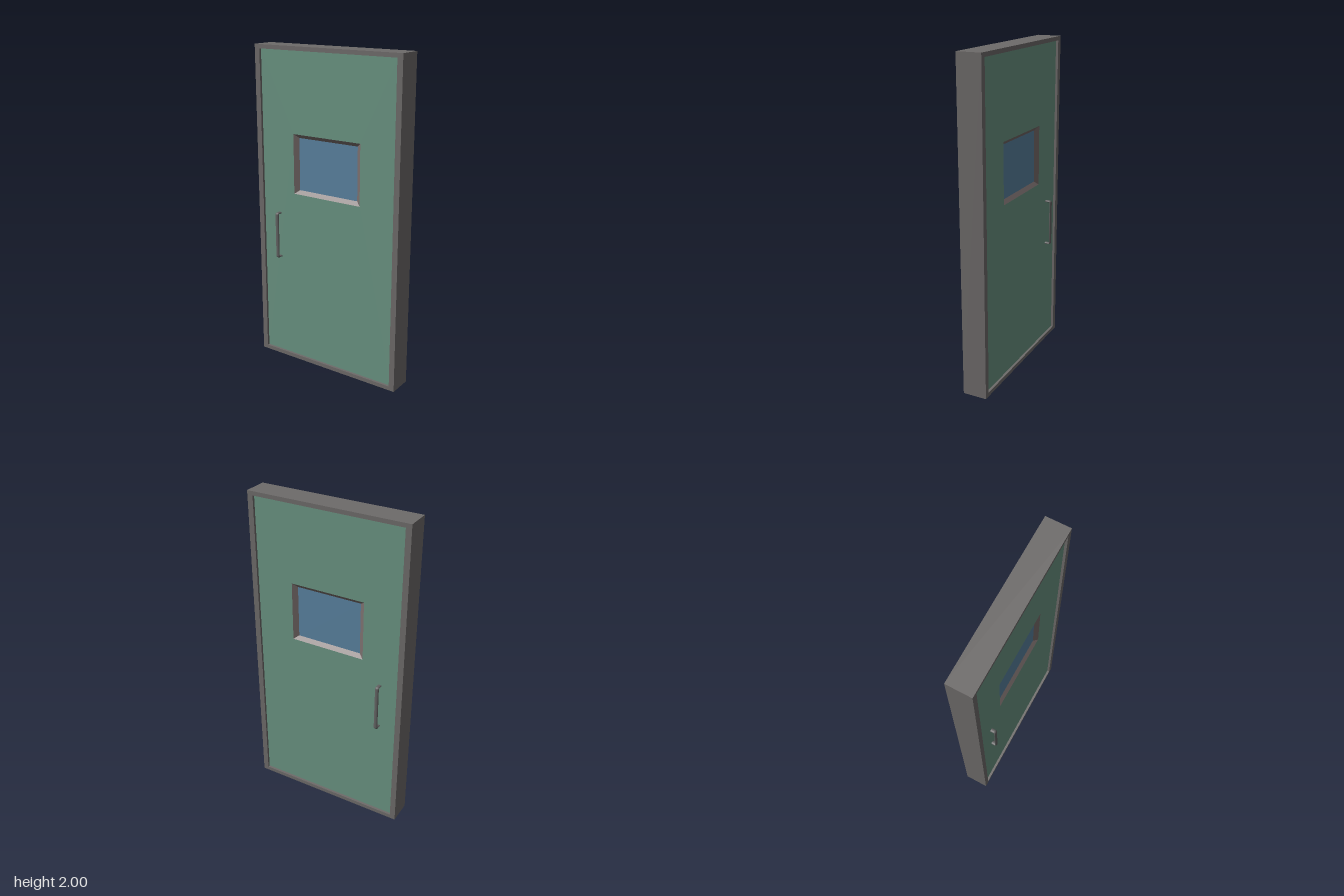
import * as THREE from 'three';

const material = (color, extra = {}) => new THREE.MeshStandardMaterial({ color, ...extra });

// Rectangle with a rectangular hole, extruded from z0 to z1. Rects are [x0, y0, x1, y1].
function ringPlate(outer, hole, z0, z1) {
  const trace = (path, [x0, y0, x1, y1]) =>
    path.moveTo(x0, y0).lineTo(x1, y0).lineTo(x1, y1).lineTo(x0, y1).closePath();
  const shape = trace(new THREE.Shape(), outer);
  shape.holes.push(trace(new THREE.Path(), hole));
  const geometry = new THREE.ExtrudeGeometry(shape, { depth: z1 - z0, bevelEnabled: false });
  return geometry.translate(0, 0, z0);
}

// Sloping four-sided surround, wide at z = 0 and narrowing to z = -depth
function slopedSurround(width, height, depth, taper) {
  return new THREE.CylinderGeometry(Math.SQRT1_2, Math.SQRT1_2 * taper, depth, 4, 1, true)
    .rotateY(Math.PI / 4)
    .rotateX(Math.PI / 2)
    .scale(width, height, 1)
    .translate(0, 0, -depth / 2);
}

// Flattened bar bent back to the door at both ends
function handleGeometry(length, reach) {
  const r = 0.0065, h = length / 2 - r, top = reach - r, bend = 0.008;
  const v = (y, z) => new THREE.Vector3(0, y, z);
  const path = new THREE.CurvePath();
  path.add(new THREE.LineCurve3(v(-h, 0), v(-h, top - bend)));
  path.add(new THREE.QuadraticBezierCurve3(v(-h, top - bend), v(-h, top), v(-h + bend, top)));
  path.add(new THREE.LineCurve3(v(-h + bend, top), v(h - bend, top)));
  path.add(new THREE.QuadraticBezierCurve3(v(h - bend, top), v(h, top), v(h, top - bend)));
  path.add(new THREE.LineCurve3(v(h, top - bend), v(h, 0)));
  return new THREE.TubeGeometry(path, 120, r, 12).scale(1.9, 1, 1);
}

export function createModel() {
  const group = new THREE.Group();
  const add = (parent, name, geometry, mat) => {
    const mesh = new THREE.Mesh(geometry, mat);
    mesh.name = name;
    parent.add(mesh);
    return mesh;
  };

  const frameMat = material(0x6e6b6a);
  const panelMat = material(0x6a9482);
  const surroundMat = material(0x7a6e6d, { flatShading: true, side: THREE.DoubleSide });
  const glassMat = material(0x5a82a0);
  const handleMat = material(0x626262);

  const midZ = 0.002, panelHalf = 0.06, recess = 0.02;
  const opening = [-0.47, 0.025, 0.47, 1.975];
  const windowHole = [-0.237, 1.115, 0.237, 1.485];

  const door = new THREE.Group();
  door.name = 'door';
  door.position.z = midZ;
  group.add(door);

  // Outer frame and inset door leaf
  add(door, 'doorFrame', ringPlate([-0.505, 0, 0.505, 2], opening, -0.075, 0.075), frameMat);
  add(door, 'doorPanel', ringPlate(opening, windowHole, -panelHalf, panelHalf), panelMat);

  // Glass pane between the two surrounds
  const glassDepth = 2 * (panelHalf - recess);
  add(door, 'windowGlass', new THREE.BoxGeometry(0.474, 0.37, glassDepth), glassMat)
    .position.set(0, 1.3, 0);

  // Surround and handle on each face; the handles sit at the same edge
  for (const [side, sign] of [['front', 1], ['back', -1]]) {
    const face = new THREE.Group();
    face.name = side + 'Fittings';
    face.rotation.y = sign > 0 ? 0 : Math.PI;
    door.add(face);
    add(face, side + 'WindowSurround', slopedSurround(0.474, 0.37, recess, 0.875), surroundMat)
      .position.set(0, 1.3, panelHalf);
    const reach = 0.0975 - sign * midZ - panelHalf + 0.005;
    add(face, side + 'Handle', handleGeometry(0.3, reach), handleMat)
      .position.set(-0.353 * sign, 0.83, panelHalf - 0.005);
  }
  return group;
}
